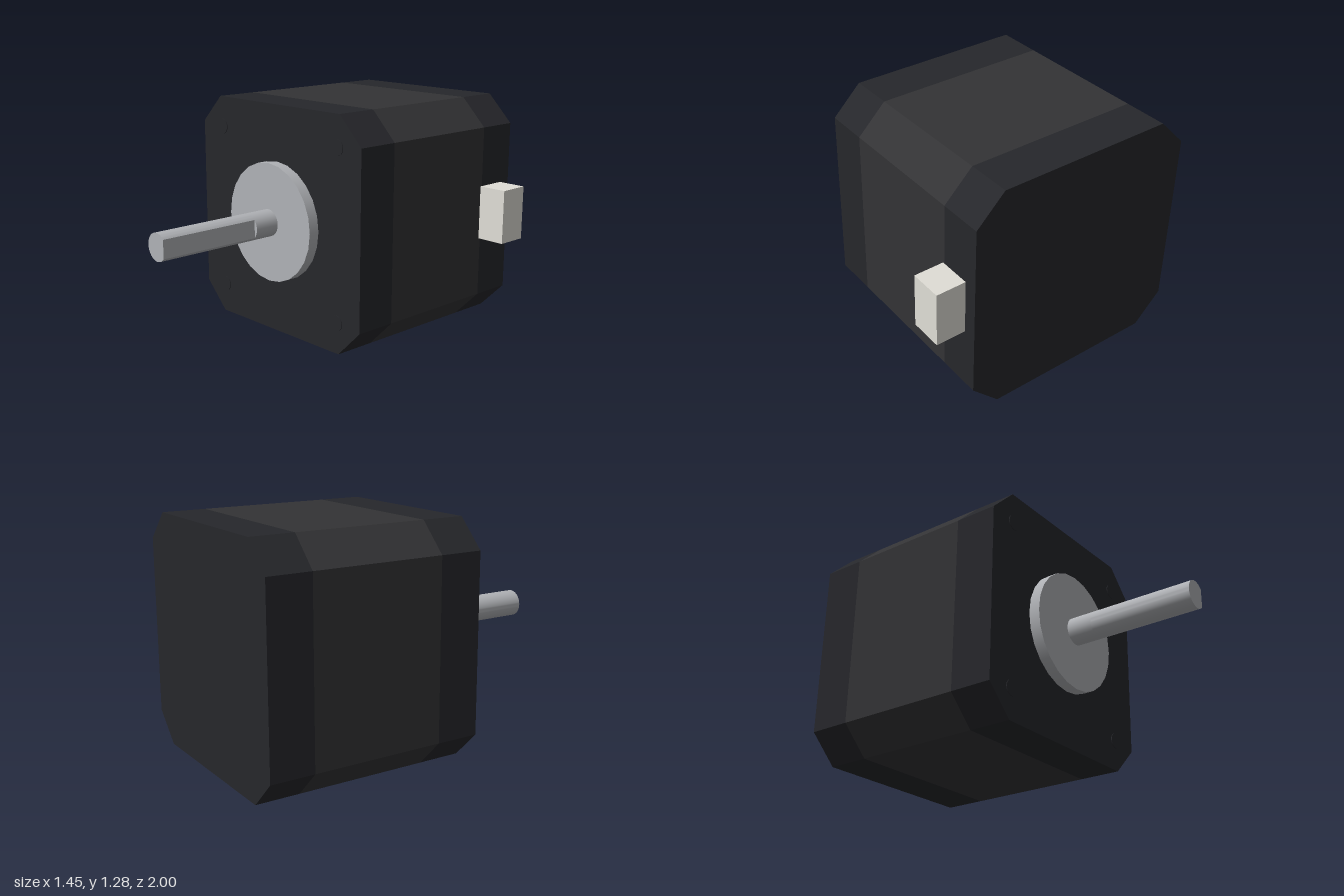
import * as THREE from 'three';
import { toCreasedNormals } from 'three/addons/utils/BufferGeometryUtils.js';

const CX = -0.083, CY = 0.642; // motor axis
const HALF = 0.641, CHAMFER = 0.155;

const paint = (color) => new THREE.MeshStandardMaterial({ color });

export function createModel() {
  const model = new THREE.Group();
  model.name = 'stepperMotor';
  const capMat = paint(0x26272b), coreMat = paint(0x333335);
  const steel = paint(0xb0b2b6), plastic = paint(0xe0ded6);

  const add = (name, geometry, material, x, y, z) => {
    const mesh = new THREE.Mesh(geometry, material);
    mesh.name = name;
    mesh.position.set(x, y, z);
    model.add(mesh);
    return mesh;
  };
  const extrude = (shape, depth) =>
    new THREE.ExtrudeGeometry(shape, { depth, bevelEnabled: false, curveSegments: 24 });
  // cylinder along z, from z0 to z1
  const rod = (name, radius, z0, z1, sides, material, x = CX, y = CY) => {
    const geometry = new THREE.CylinderGeometry(radius, radius, z1 - z0, sides).rotateX(Math.PI / 2);
    return add(name, geometry, material, x, y, (z0 + z1) / 2);
  };

  // Housing: square section with chamfered corners, in three lengths
  const k = HALF - CHAMFER;
  const section = new THREE.Shape([
    [HALF, -k], [HALF, k], [k, HALF], [-k, HALF],
    [-HALF, k], [-HALF, -k], [-k, -HALF], [k, -HALF],
  ].map(([x, y]) => new THREE.Vector2(x, y)));
  for (const [name, z0, z1, material] of [
    ['rearCap', -1, -0.76, capMat],
    ['statorCore', -0.76, -0.03, coreMat],
    ['frontCap', -0.03, 0.21, capMat],
  ]) add(name, extrude(section, z1 - z0), material, CX, CY, z0);

  // Screw holes, drawn as shallow dark discs on the front face
  for (const sx of [-1, 1])
    for (const sy of [-1, 1])
      rod('screwHole', 0.043, 0.17, 0.214, 24, capMat, CX + sx * 0.47, CY + sy * 0.47);

  // Pilot boss and round base of the shaft
  rod('pilotBoss', 0.331, 0.2, 0.272, 24, steel);
  rod('shaftBase', 0.075, 0.26, 0.417, 24, steel);

  // D-shaped shaft with its flat facing +x
  const a = Math.acos(0.056 / 0.075);
  const dShape = new THREE.Shape();
  dShape.absarc(0, 0, 0.075, a, Math.PI * 2 - a, false);
  dShape.closePath();
  add('shaft', toCreasedNormals(extrude(dShape, 0.583), 0.5), steel, CX, CY, 0.417);

  // Cable connector on the left side
  add('connector', new THREE.BoxGeometry(0.185, 0.303, 0.178), plastic, 0.63, 0.643, -0.838);

  return model;
}
